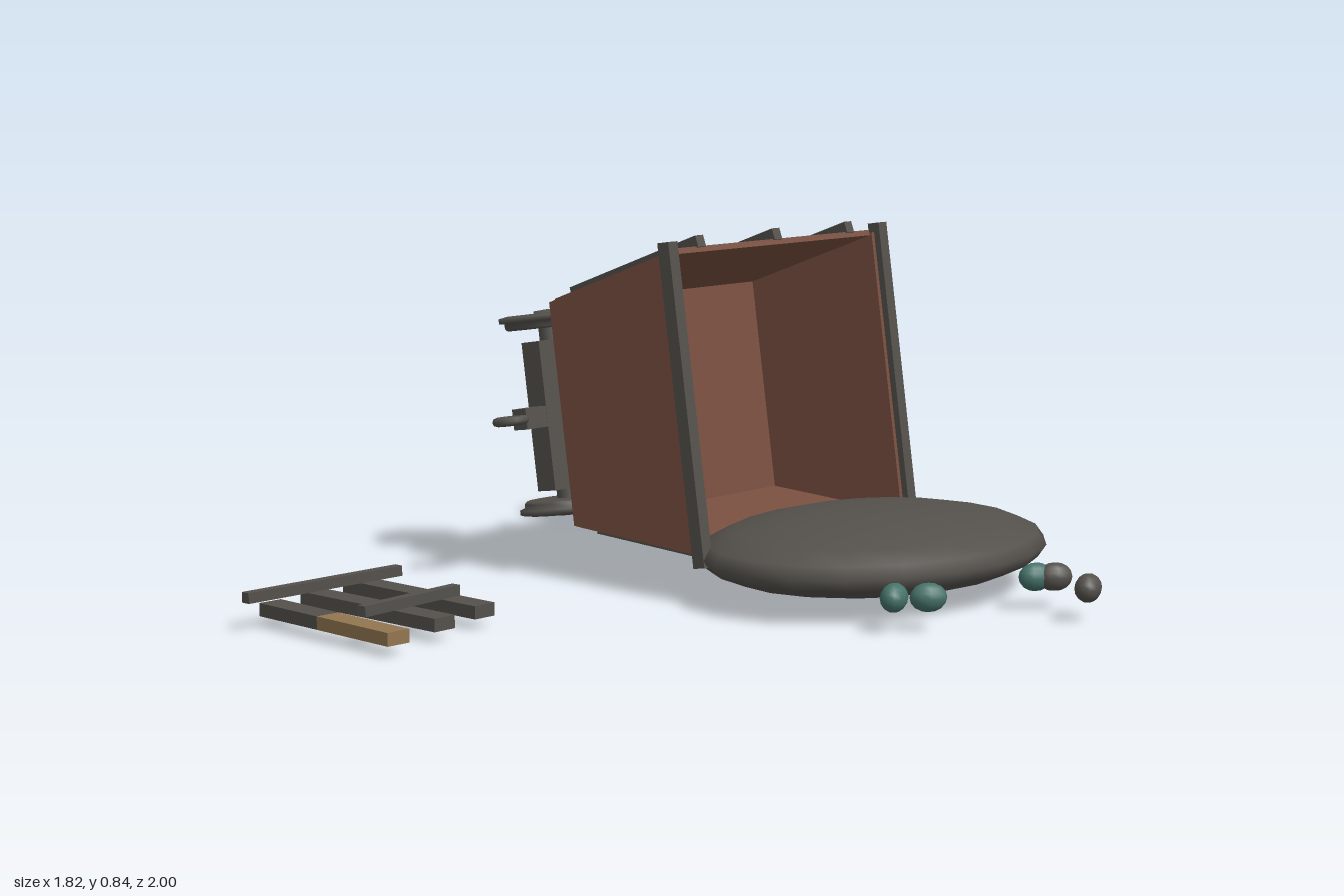
import * as THREE from 'three';

const mat = (name, color) => {
  const m = new THREE.MeshStandardMaterial({ color });
  m.name = name;
  return m;
};

export function createModel() {
  const root = new THREE.Group();
  root.name = 'tippedCartScene';
  const iron = mat('dark iron', 0x54514c);
  const rust = mat('rusty brown', 0x7a5040);
  const tan = mat('tan', 0x927551);
  const teal = mat('teal ore', 0x46736a);

  const add = (parent, name, geo, material, x = 0, y = 0, z = 0) => {
    const m = new THREE.Mesh(geo, material);
    m.name = name;
    m.position.set(x, y, z);
    parent.add(m);
    return m;
  };
  const box = (w, h, d) => new THREE.BoxGeometry(w, h, d);

  // Cart, built upright and then tipped so its opening faces +x
  const cart = new THREE.Group();
  cart.name = 'cart';
  cart.position.set(-0.357, 0.405, -0.285);
  cart.rotation.z = -1.425;
  root.add(cart);

  const low = 0.27, high = 0.355, tall = 0.41;
  const lean = Math.atan2(high - low, tall);
  const slope = Math.hypot(high - low, tall);

  // Tub floor, trapezoid sides and sloped ends with three straps each
  add(cart, 'tubFloor', box(low * 2, 0.014, 0.72), rust, 0, 0.007, 0);
  const panel = new THREE.Shape([
    new THREE.Vector2(-low, 0), new THREE.Vector2(low, 0),
    new THREE.Vector2(high, tall), new THREE.Vector2(-high, tall),
  ]);
  const panelGeo = new THREE.ExtrudeGeometry(panel, { depth: 0.014, bevelEnabled: false });
  for (const s of [-1, 1]) {
    add(cart, 'tubSide', panelGeo, rust, 0, 0, s * 0.375 - 0.007);
    add(cart, 'rimBar', box(0.755, 0.034, 0.032), iron, 0, tall, s * 0.395);

    const end = new THREE.Group();
    end.name = 'tubEnd';
    end.position.set(s * (low + high) / 2, tall / 2, 0);
    end.rotation.z = -s * lean;
    cart.add(end);
    add(end, 'endWall', box(0.014, slope, 0.72), rust);
    for (const z of [-0.28, 0, 0.28]) {
      add(end, 'strap', box(0.028, slope + 0.01, 0.028), iron, s * 0.018, 0, z);
    }
  }

  // Chassis slab with a coupling ring at each end
  add(cart, 'chassis', box(0.36, 0.058, 0.82), iron, 0, -0.051, 0);
  for (const s of [-1, 1]) {
    add(cart, 'couplingBlock', box(0.05, 0.045, 0.08), iron, 0, -0.045, s * 0.44);
    const ring = add(cart, 'couplingRing', new THREE.TorusGeometry(0.033, 0.011, 8, 16), iron, 0, -0.045, s * 0.511);
    ring.rotation.y = Math.PI / 2;
  }

  // Flanged wheels on two axles
  const wheelProfile = [
    [0, -0.018], [0.1, -0.018], [0.106, -0.012], [0.106, 0], [0.119, 0.002],
    [0.119, 0.014], [0.098, 0.018], [0.094, 0.008], [0.034, 0.008],
    [0.032, 0.024], [0, 0.026],
  ].map(([r, y]) => new THREE.Vector2(r, y));
  const wheelGeo = new THREE.LatheGeometry(wheelProfile, 16);
  for (const z of [-0.27, 0.27]) {
    const axle = add(cart, 'axle', new THREE.CylinderGeometry(0.025, 0.025, 0.46, 10), iron, 0, -0.121, z);
    axle.rotation.z = Math.PI / 2;
    for (const s of [-1, 1]) {
      const wheel = add(cart, 'wheel', wheelGeo, iron, s * 0.228, -0.121, z);
      wheel.rotation.z = -s * Math.PI / 2;
    }
  }

  // Spilled heap in front of the opening
  const heap = add(root, 'spilledHeap', new THREE.SphereGeometry(1, 20, 10), iron, 0.297, 0.11, -0.285);
  heap.scale.set(0.368, 0.092, 0.478);

  // Loose ore lumps: material, x, z, turn
  const lumpGeo = new THREE.SphereGeometry(1, 12, 8);
  for (const [m, x, z, turn] of [
    [teal, 0.612, 0.053, 0.3], [teal, 0.667, 0, -0.7],
    [teal, 0.713, -0.35, -0.4], [iron, 0.745, -0.38, -0.6], [iron, 0.876, -0.32, 0.3],
  ]) {
    const lump = add(root, 'oreLump', lumpGeo, m, x, 0.08, z);
    lump.scale.set(0.03, 0.033, 0.043);
    lump.rotation.y = turn;
  }

  // Sacks: x, y, z, radii, turn
  const sackGeo = new THREE.SphereGeometry(1, 18, 12);
  for (const [x, y, z, rx, ry, rz, turn] of [
    [-0.803, 0.055, -0.935, 0.075, 0.041, 0.058, 0.7],
    [-0.83, 0.053, -0.82, 0.086, 0.049, 0.062, -0.55],
    [-0.805, 0.053, -0.712, 0.075, 0.043, 0.052, 0.15],
  ]) {
    const sack = add(root, 'sack', sackGeo, tan, x, y, z);
    sack.scale.set(rx, ry, rz);
    sack.rotation.y = turn;
  }

  // Broken track: sleepers, the last one partly tan, under two thin rails
  const beam = (name, m, x1, z1, x2, z2, y, w, h) => {
    const b = add(root, name, box(Math.hypot(x2 - x1, z2 - z1), h, w), m, (x1 + x2) / 2, y, (z1 + z2) / 2);
    b.rotation.y = -Math.atan2(z2 - z1, x2 - x1);
  };
  beam('sleeper', iron, -0.545, 0.608, -0.097, 0.622, 0.043, 0.06, 0.03);
  beam('sleeper', iron, -0.515, 0.765, -0.068, 0.774, 0.043, 0.06, 0.03);
  beam('sleeper', iron, -0.485, 0.911, -0.28, 0.924, 0.043, 0.06, 0.03);
  beam('sleeperTanEnd', tan, -0.28, 0.924, -0.038, 0.94, 0.043, 0.06, 0.03);
  beam('rail', iron, -0.45, 0.55, -0.47, 0.995, 0.08, 0.024, 0.024);
  beam('rail', iron, -0.187, 0.622, -0.17, 0.925, 0.08, 0.024, 0.024);

  return root;
}
